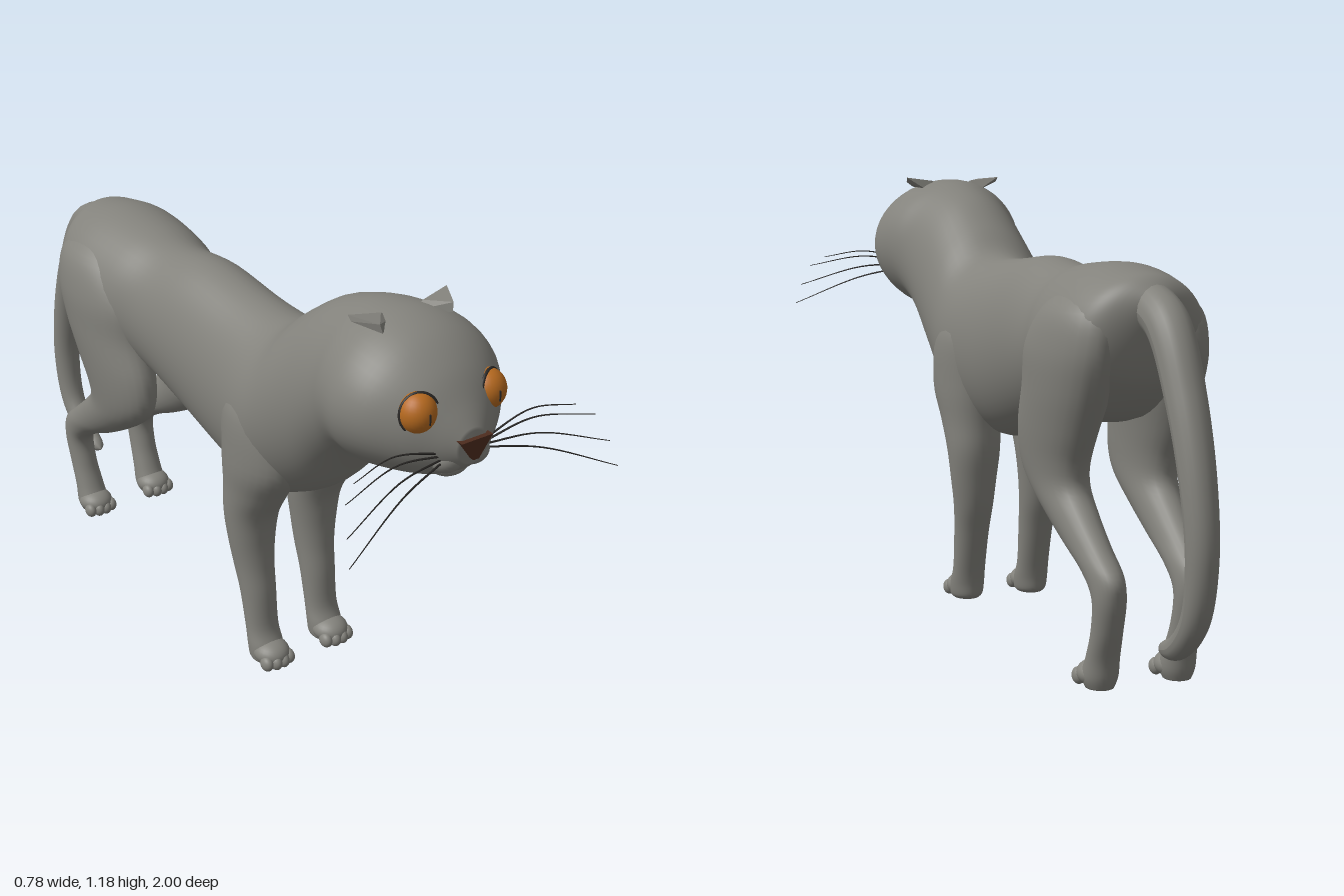
import * as THREE from 'three';
import { ConvexGeometry } from 'three/addons/geometries/ConvexGeometry.js';

const mat = (name, color) => Object.assign(new THREE.MeshStandardMaterial({ color }), { name });
const V = (x, y, z) => new THREE.Vector3(x, y, z);

// Smooth interpolation through rows of numbers
function smoothRows(rows, steps) {
  const out = [];
  const at = i => rows[Math.max(0, Math.min(rows.length - 1, i))];
  for (let i = 0; i < rows.length - 1; i++) {
    for (let s = 0; s < steps; s++) {
      const t = s / steps, a = at(i - 1), b = at(i), c = at(i + 1), d = at(i + 2);
      out.push(b.map((p, k) => 0.5 * (2 * p + (c[k] - a[k]) * t
        + (2 * a[k] - 5 * p + 4 * c[k] - d[k]) * t * t
        + (3 * p - a[k] - 3 * c[k] + d[k]) * t * t * t)));
    }
  }
  out.push(rows[rows.length - 1]);
  return out;
}

// Closed skin over elliptical sections [t, x, rx, c, rc].
// axis 'z': t = z rising, c = y.   axis 'y': t = y falling, c = z.
function loft(rows, axis, sides = 36, steps = 5) {
  const rings = smoothRows(rows, steps), pos = [], idx = [];
  const put = (t, x, c) => (axis === 'z' ? pos.push(x, c, t) : pos.push(x, t, c));
  for (const [t, x, rx, c, rc] of rings) {
    for (let j = 0; j < sides; j++) {
      const a = (j / sides) * Math.PI * 2;
      put(t, x + rx * Math.cos(a), c + rc * Math.sin(a));
    }
  }
  const n = rings.length, first = n * sides, last = first + 1;
  put(rings[0][0], rings[0][1], rings[0][3]);
  put(rings[n - 1][0], rings[n - 1][1], rings[n - 1][3]);
  for (let j = 0; j < sides; j++) {
    const k = (j + 1) % sides;
    for (let i = 0; i < n - 1; i++) {
      const a = i * sides + j, b = i * sides + k;
      idx.push(a, b, a + sides, b, b + sides, a + sides);
    }
    idx.push(first, k, j, last, (n - 1) * sides + j, (n - 1) * sides + k);
  }
  const g = new THREE.BufferGeometry();
  g.setAttribute('position', new THREE.Float32BufferAttribute(pos, 3));
  g.setIndex(idx);
  g.computeVertexNormals();
  return g;
}

// Tube whose radius follows a function of its length
function taperedTube(points, radius, segments, sides) {
  const g = new THREE.TubeGeometry(new THREE.CatmullRomCurve3(points), segments, 1, sides);
  const p = g.attributes.position, nrm = g.attributes.normal;
  for (let i = 0; i < p.count; i++) {
    const k = radius(Math.floor(i / (sides + 1)) / segments) - 1;
    p.setXYZ(i, p.getX(i) + nrm.getX(i) * k, p.getY(i) + nrm.getY(i) * k, p.getZ(i) + nrm.getZ(i) * k);
  }
  g.computeVertexNormals();
  return g;
}

export function createModel() {
  const root = new THREE.Group();
  root.name = 'cat';
  const fur = mat('grey fur', 0x83827c);
  const amber = mat('amber eye', 0xb5691f);
  const brown = mat('brown nose', 0x4d2c1e);
  const dark = mat('dark whisker', 0x2a2826);
  const add = (name, geometry, material) => {
    const m = new THREE.Mesh(geometry, material);
    m.name = name;
    root.add(m);
    return m;
  };
  const ball = (name, material, x, y, z, rx, ry, rz) => {
    const m = add(name, new THREE.SphereGeometry(1, 28, 18), material);
    m.position.set(x, y, z);
    m.scale.set(rx, ry, rz);
    return m;
  };

  // Rump, torso, neck and head in one skin: [z, top, bottom, half width]
  const trunk = [
    [-0.735, 0.945, 0.87, 0.04], [-0.7, 0.975, 0.76, 0.12], [-0.65, 0.987, 0.69, 0.165],
    [-0.55, 1.0, 0.62, 0.192], [-0.4, 0.99, 0.6, 0.18], [-0.28, 0.975, 0.585, 0.155],
    [-0.12, 0.99, 0.54, 0.154], [0.1, 0.97, 0.485, 0.16], [0.25, 0.972, 0.49, 0.18],
    [0.35, 1.045, 0.53, 0.18], [0.45, 1.115, 0.6, 0.175], [0.55, 1.155, 0.71, 0.18],
    [0.62, 1.168, 0.775, 0.2], [0.7, 1.17, 0.79, 0.217], [0.78, 1.145, 0.81, 0.2],
    [0.85, 1.09, 0.83, 0.148], [0.9, 1.02, 0.86, 0.085], [0.93, 0.972, 0.89, 0.04],
  ].map(([z, top, bot, w]) => [z, 0, w, (top + bot) / 2, (top - bot) / 2]);
  add('body and head', loft(trunk, 'z', 48), fur);

  // Tail sweeping down and curling forward
  const tailPath = [[0.92, -0.66], [0.87, -0.78], [0.71, -0.875], [0.52, -0.94], [0.36, -0.96],
    [0.22, -0.93], [0.14, -0.85], [0.115, -0.765]].map(([y, z]) => V(-0.004, y, z));
  add('tail', taperedTube(tailPath,
    t => (0.057 - 0.028 * t) * Math.sqrt(Math.max(0, 1 - Math.pow(t, 24))), 64, 20), fur);

  // Leg sections, top to bottom: [y, x, rx, z, rz]
  const foreLeg = [
    [0.84, 0.09, 0.03, 0.25, 0.05], [0.76, 0.1, 0.08, 0.25, 0.12], [0.62, 0.105, 0.083, 0.255, 0.13],
    [0.52, 0.1, 0.079, 0.23, 0.1], [0.44, 0.1, 0.073, 0.208, 0.076], [0.36, 0.1, 0.064, 0.208, 0.062],
    [0.28, 0.098, 0.055, 0.217, 0.054], [0.2, 0.097, 0.049, 0.236, 0.046],
    [0.1, 0.097, 0.046, 0.255, 0.038], [0.05, 0.097, 0.048, 0.272, 0.045],
    [0.015, 0.097, 0.045, 0.28, 0.05], [0.003, 0.097, 0.035, 0.28, 0.04],
  ];
  const hindLeg = [
    [0.95, 0.07, 0.05, -0.54, 0.08], [0.89, 0.1, 0.085, -0.54, 0.15], [0.8, 0.115, 0.094, -0.51, 0.19],
    [0.7, 0.12, 0.088, -0.485, 0.18], [0.6, 0.122, 0.078, -0.44, 0.172],
    [0.52, 0.12, 0.07, -0.418, 0.15], [0.46, 0.117, 0.064, -0.435, 0.128],
    [0.4, 0.115, 0.056, -0.505, 0.115], [0.34, 0.112, 0.048, -0.59, 0.1],
    [0.285, 0.108, 0.043, -0.675, 0.078], [0.23, 0.106, 0.04, -0.71, 0.047],
    [0.15, 0.104, 0.038, -0.695, 0.04], [0.08, 0.102, 0.041, -0.668, 0.04],
    [0.03, 0.102, 0.044, -0.65, 0.048], [0.003, 0.102, 0.034, -0.65, 0.038],
  ];

  for (const s of [1, -1]) {
    const side = s > 0 ? 'left' : 'right';
    const mirror = rows => rows.map(([t, x, ...rest]) => [t, x * s, ...rest]);
    add(side + ' front leg', loft(mirror(foreLeg), 'y', 28), fur);
    add(side + ' hind leg', loft(mirror(hindLeg), 'y', 28), fur);

    // Paws with four toes
    for (const [name, x, z] of [['front', 0.097, 0.3], ['hind', 0.102, -0.635]]) {
      ball(`${side} ${name} paw`, fur, s * x, 0.034, z, 0.049, 0.034, 0.052);
      for (let i = 0; i < 4; i++) {
        const o = i - 1.5;
        ball(`${side} ${name} toe`, fur, s * x + o * 0.023, 0.022, z + 0.042 - Math.abs(o) * 0.008, 0.016, 0.021, 0.022);
      }
    }

    // Eyes with dark lids and slit pupils
    ball(side + ' eye', amber, s * 0.1, 1.013, 0.85, 0.046, 0.05, 0.046);
    const rim = add(side + ' eye rim', new THREE.TorusGeometry(0.045, 0.004, 8, 36), dark);
    rim.position.set(s * 0.103, 1.014, 0.862);
    rim.rotation.set(-0.2, s * 0.4, 0);
    rim.scale.y = 1.08;
    const pupil = add(side + ' pupil', new THREE.BoxGeometry(0.003, 0.026, 0.004), dark);
    pupil.position.set(s * 0.1, 1.013, 0.896);

    // Small folded ear
    add(side + ' ear', new ConvexGeometry([
      V(s * 0.035, 1.15, 0.665), V(s * 0.06, 1.168, 0.66), V(s * 0.142, 1.178, 0.645),
      V(s * 0.14, 1.165, 0.655), V(s * 0.105, 1.172, 0.715), V(s * 0.1, 1.15, 0.72),
      V(s * 0.08, 1.14, 0.64),
    ]), fur);

    // Whisker pad
    ball(side + ' muzzle', fur, s * 0.036, 0.893, 0.885, 0.044, 0.034, 0.036);

    // Whiskers: tip x, y, z
    [[0.39, 0.79, 1.0], [0.38, 0.848, 0.975], [0.36, 0.908, 0.94], [0.32, 0.935, 0.915]].forEach(([x, y, z], i) => {
      const ry = 0.9 + i * 0.006;
      const path = [V(s * 0.055, ry, 0.9), V(s * 0.2, (ry + y) / 2 + 0.025, (0.9 + z) / 2 - 0.012), V(s * x, y, z)];
      add(side + ' whisker', taperedTube(path, t => 0.0028 - 0.0018 * t, 16, 6), dark);
    });
  }

  // Chin
  ball('chin', fur, 0, 0.855, 0.855, 0.05, 0.028, 0.036);

  // Triangular nose
  const nose = new THREE.Shape([[-0.045, 0.956], [-0.008, 0.905], [0.008, 0.905], [0.045, 0.956]]
    .map(([x, y]) => new THREE.Vector2(x, y)));
  add('nose', new THREE.ExtrudeGeometry(nose, { depth: 0.05, bevelEnabled: false }), brown).position.z = 0.892;

  return root;
}
